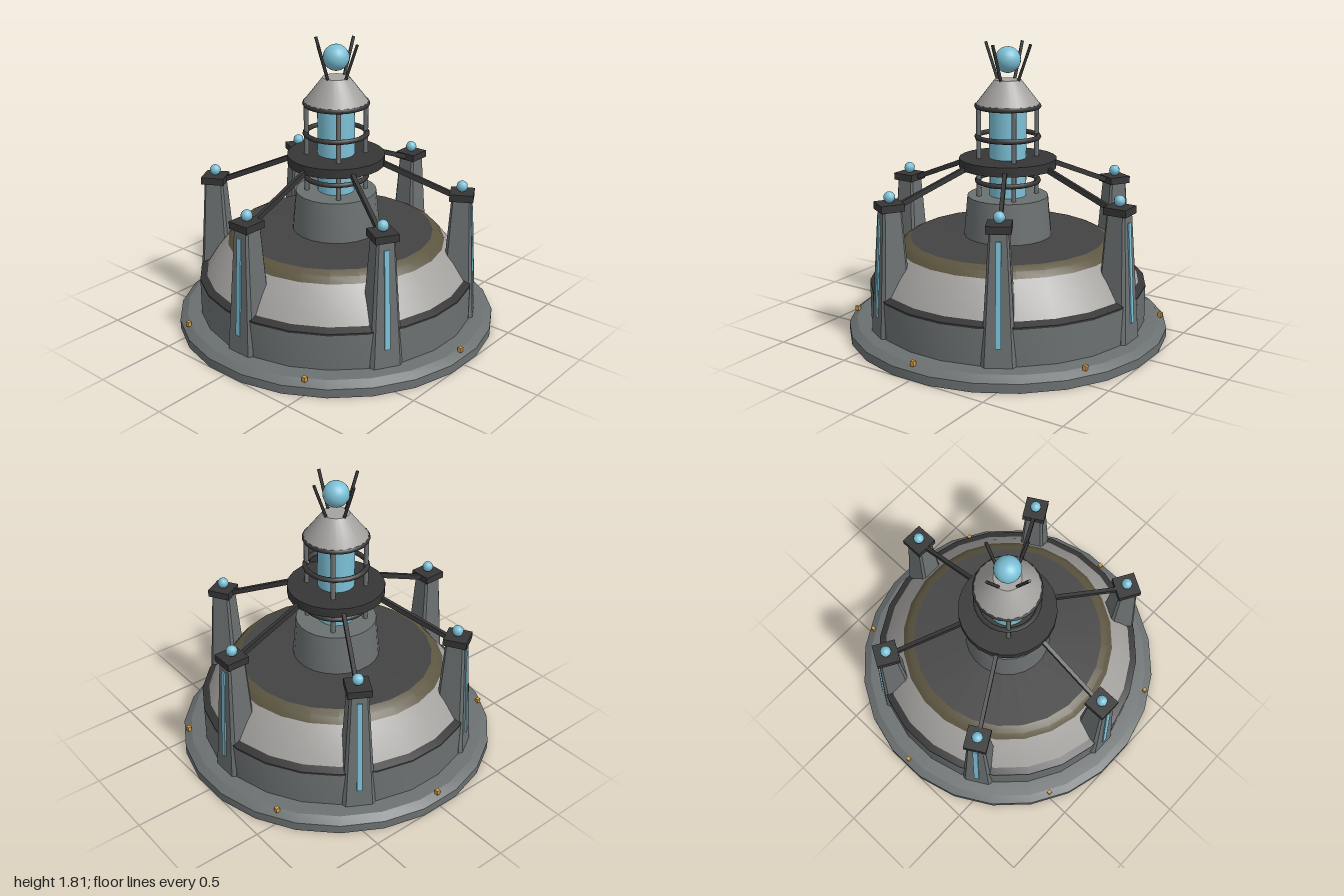
import * as THREE from 'three';
import { toCreasedNormals } from 'three/addons/utils/BufferGeometryUtils.js';

const paint = (name, color) => {
  const m = new THREE.MeshStandardMaterial({ color });
  m.name = name;
  return m;
};

export function createModel() {
  const grey = paint('grey metal', 0x6b7070);
  const light = paint('light plating', 0xa5a3a0);
  const bronze = paint('bronze band', 0x5c5540);
  const roofDark = paint('roof dark', 0x434343);
  const dark = paint('dark trim', 0x363636);
  const blue = paint('glowing blue', 0x7cc0d6);
  const amber = paint('amber lamp', 0xd09a45);

  const model = new THREE.Group();
  model.name = 'beaconStation';

  const add = (parent, name, geometry, material, x = 0, y = 0, z = 0) => {
    const mesh = new THREE.Mesh(geometry, material);
    mesh.name = name;
    mesh.position.set(x, y, z);
    parent.add(mesh);
    return mesh;
  };
  // Turned part from [radius, height] pairs, listed from bottom to top
  const turned = (name, material, profile, sides = 24) => {
    const points = profile.map(([r, y]) => new THREE.Vector2(r, y));
    const geo = new THREE.LatheGeometry(points, sides, Math.PI / sides);
    return add(model, name, toCreasedNormals(geo, 0.42), material);
  };

  // Base, drum and dome
  turned('baseUnderside', dark, [[0, 0], [1.0086, 0]]);
  turned('base', grey, [[1.0086, 0], [1.0086, 0.055], [0.96, 0.088], [0.84, 0.1], [0.8, 0.1]]);
  turned('drum', grey, [[0.87, 0.095], [0.87, 0.318]]);
  turned('drumTrim', dark, [[0.87, 0.318], [0.87, 0.33], [0.825, 0.35]]);
  turned('dome', light, [[0.825, 0.35], [0.76, 0.455], [0.685, 0.55]]);
  turned('domeBand', bronze, [[0.685, 0.55], [0.655, 0.585], [0.61, 0.608]]);
  turned('roof', roofDark, [[0.61, 0.608], [0.2, 0.622]]);

  // Central tower
  turned('pedestal', grey, [[0.275, 0.615], [0.252, 0.87], [0, 0.87]]);
  turned('lightColumn', blue, [[0.115, 0.87], [0.115, 1.44]]);
  turned('towerDeck', dark, [[0, 1.05], [0.302, 1.05], [0.302, 1.108], [0, 1.108]]);
  turned('towerCap', light, [[0, 1.43], [0.2, 1.43], [0.195, 1.445], [0.082, 1.59], [0, 1.59]]);
  for (const y of [0.965, 1.24, 1.43]) {
    const ring = add(model, 'towerRing', new THREE.TorusGeometry(0.19, 0.016, 8, 24), dark, 0, y, 0);
    ring.rotation.x = Math.PI / 2;
  }
  for (let i = 0; i < 4; i++) {
    const a = Math.PI / 4 + i * Math.PI / 2;
    add(model, 'towerPost', new THREE.CylinderGeometry(0.015, 0.015, 0.58, 8), grey,
      0.182 * Math.sin(a), 1.15, 0.182 * Math.cos(a));
  }

  // Top orb held between four splayed prongs
  add(model, 'topOrb', new THREE.SphereGeometry(0.08, 20, 14), blue, 0, 1.71, 0);
  for (let i = 0; i < 4; i++) {
    const holder = new THREE.Group();
    holder.name = 'prongHolder';
    holder.rotation.y = i * Math.PI / 2;
    model.add(holder);
    const prong = add(holder, 'prong', new THREE.CylinderGeometry(0.01, 0.01, 0.245, 6), dark, 0, 1.695, 0.118);
    prong.rotation.x = Math.atan2(0.085, 0.22);
  }

  // Tapered pillar with chamfered corners, centred on its own axis
  const pillarGeo = () => {
    const s = 1, c = 0.8;
    const outline = [[s, -c], [s, c], [c, s], [-c, s], [-s, c], [-s, -c], [-c, -s], [c, -s]];
    const shape = new THREE.Shape(outline.map(([x, y]) => new THREE.Vector2(x, y)));
    const geo = new THREE.ExtrudeGeometry(shape, { depth: 0.775, bevelEnabled: false });
    geo.rotateX(-Math.PI / 2);
    const p = geo.attributes.position;
    for (let i = 0; i < p.count; i++) {
      const half = 0.107 - 0.0614 * p.getY(i);
      p.setX(i, p.getX(i) * half * 0.94);
      p.setZ(i, p.getZ(i) * half);
    }
    geo.computeVertexNormals();
    return geo;
  };
  const pillarShape = pillarGeo();

  // Six pillars, each with cap, lamp, light strip and a strut to the tower
  for (let i = 0; i < 6; i++) {
    const unit = new THREE.Group();
    unit.name = 'pillarUnit';
    unit.rotation.y = i * Math.PI / 3;
    model.add(unit);
    add(unit, 'pillar', pillarShape, grey, 0, 0.095, 0.78);
    add(unit, 'pillarCap', new THREE.BoxGeometry(0.143, 0.045, 0.145), dark, 0, 0.887, 0.782);
    add(unit, 'pillarLamp', new THREE.SphereGeometry(0.035, 10, 8), blue, 0, 0.943, 0.78);
    const strip = add(unit, 'lightStrip', new THREE.BoxGeometry(0.032, 0.61, 0.009), blue, 0, 0.515, 0.865);
    strip.rotation.x = -Math.atan(0.0614);
    const strut = add(unit, 'strut', new THREE.BoxGeometry(0.024, 0.032, 0.475), dark, 0, 0.98, 0.49);
    strut.rotation.x = Math.atan2(0.18, 0.44);
  }

  // Amber lamps around the base rim
  for (let i = 0; i < 6; i++) {
    const a = Math.PI / 6 + i * Math.PI / 3;
    add(model, 'rimLamp', new THREE.BoxGeometry(0.024, 0.03, 0.024), amber,
      0.972 * Math.sin(a), 0.094, 0.972 * Math.cos(a));
  }
  return model;
}
